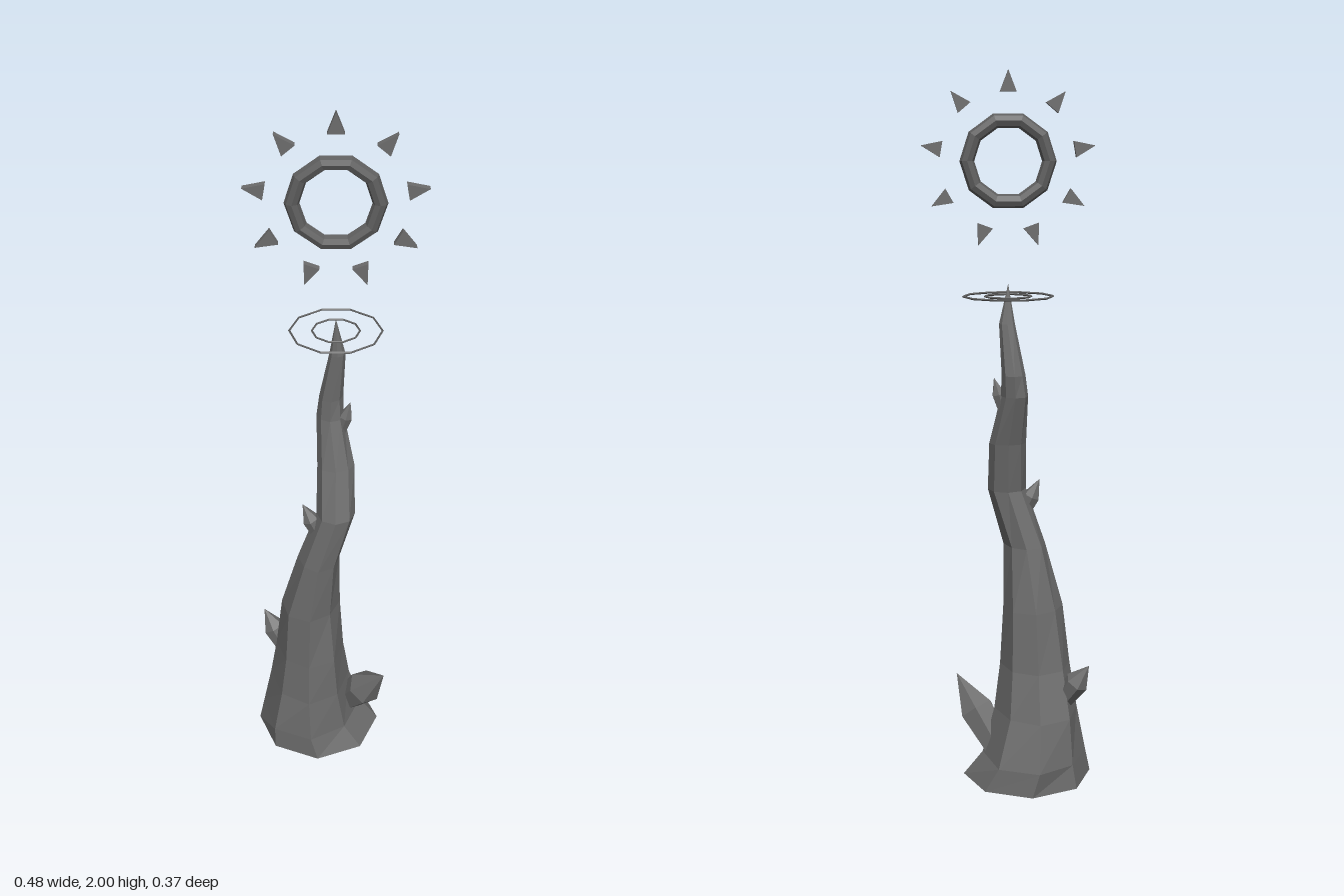
import * as THREE from 'three';

const stone = new THREE.MeshStandardMaterial({ color: 0x6c6c6c, flatShading: true });
const darkStone = new THREE.MeshStandardMaterial({ color: 0x5e5e5e, flatShading: true });

function addMesh(parent, geometry, name, material = stone) {
  const mesh = new THREE.Mesh(geometry, material);
  mesh.name = name;
  parent.add(mesh);
  return mesh;
}

// Crooked eight-sided trunk: each row is [y, xMin, xMax, zMin, zMax]
function trunkGeometry() {
  const rows = [
    [0, -0.24, 0.13, -0.185, 0.187],
    [0.07, -0.225, 0.075, -0.187, 0.177],
    [0.2, -0.2, 0.04, -0.15, 0.16],
    [0.33, -0.18, 0.022, -0.1, 0.145],
    [0.5, -0.16, 0.012, -0.07, 0.132],
    [0.68, -0.11, 0.01, -0.03, 0.128],
    [0.84, -0.055, 0.054, 0, 0.115],
    [0.98, -0.052, 0.052, -0.022, 0.062],
    [1.12, -0.054, 0.022, -0.06, 0.02],
    [1.18, -0.046, 0.02, -0.064, 0.014],
    [1.32, -0.018, 0.026, -0.03, 0.012],
    [1.43, 0, 0, 0, 0],
  ];
  const sides = 8;
  const positions = [];
  const index = [];
  rows.forEach(([y, x0, x1, z0, z1], i) => {
    for (let j = 0; j < sides; j++) {
      const a = (j / sides) * Math.PI * 2;
      // gentle chiselled irregularity on the diagonal ridges
      const k = i > 0 && j % 2 ? 1 + 0.06 * Math.sin(i * 2.3 + j * 1.7) : 1;
      positions.push(
        (x0 + x1) / 2 + ((x1 - x0) / 2) * Math.cos(a) * k, y,
        (z0 + z1) / 2 + ((z1 - z0) / 2) * Math.sin(a) * k);
    }
  });
  for (let i = 0; i < rows.length - 1; i++) {
    for (let j = 0; j < sides; j++) {
      const a = i * sides + j, b = i * sides + ((j + 1) % sides);
      const c = a + sides, d = b + sides;
      index.push(a, c, b);
      if (i < rows.length - 2) index.push(b, c, d);
    }
  }
  // base cap
  for (let j = 1; j < sides - 1; j++) index.push(0, j, j + 1);
  const g = new THREE.BufferGeometry();
  g.setAttribute('position', new THREE.Float32BufferAttribute(positions, 3));
  g.setIndex(index);
  const flat = g.toNonIndexed();
  flat.computeVertexNormals();
  return flat;
}

// Crystal thorn growing from one point to another
function addThorn(parent, from, to, radius) {
  const start = new THREE.Vector3(...from);
  const axis = new THREE.Vector3(...to).sub(start);
  const length = axis.length();
  const profile = [[0, 0], [radius * 0.75, 0.02], [radius, 0.53], [0, 1]]
    .map(([r, t]) => new THREE.Vector2(r, t * length));
  const thorn = addMesh(parent, new THREE.LatheGeometry(profile, 6), 'thorn');
  thorn.position.copy(start);
  thorn.quaternion.setFromUnitVectors(new THREE.Vector3(0, 1, 0), axis.normalize());
}

export function createModel() {
  const model = new THREE.Group();
  model.name = 'sunSpire';

  addMesh(model, trunkGeometry(), 'trunk');

  const thorns = new THREE.Group();
  thorns.name = 'thorns';
  model.add(thorns);
  addThorn(thorns, [0.025, 0.07, -0.005], [0.145, 0.27, 0.107], 0.054);
  addThorn(thorns, [-0.155, 0.24, -0.055], [-0.222, 0.357, -0.1], 0.035);
  addThorn(thorns, [-0.045, 0.76, 0.06], [-0.094, 0.867, 0.053], 0.025);
  addThorn(thorns, [0.012, 1.07, -0.008], [0.04, 1.17, -0.003], 0.02);

  // Thin halos level around the tip
  for (const [radius, name] of [[0.124, 'outerHalo'], [0.064, 'innerHalo']]) {
    const halo = addMesh(model, new THREE.TorusGeometry(radius, 0.003, 4, 10), name, darkStone);
    halo.rotation.x = Math.PI / 2;
    halo.position.y = 1.395;
  }

  // Floating sun: ring with nine wedge rays
  const sun = new THREE.Group();
  sun.name = 'sun';
  sun.position.y = 1.76;
  model.add(sun);
  addMesh(sun, new THREE.TorusGeometry(0.112, 0.02, 8, 10), 'sunRing', darkStone);

  const wedge = new THREE.Shape([
    new THREE.Vector2(-0.022, 0.184),
    new THREE.Vector2(0.022, 0.184),
    new THREE.Vector2(0, 0.24),
  ]);
  const rayGeometry = new THREE.ExtrudeGeometry(wedge, { depth: 0.02, bevelEnabled: false });
  rayGeometry.translate(0, 0, -0.01);
  for (let i = 0; i < 9; i++) {
    addMesh(sun, rayGeometry, 'sunRay').rotation.z = (i / 9) * Math.PI * 2;
  }

  return model;
}
